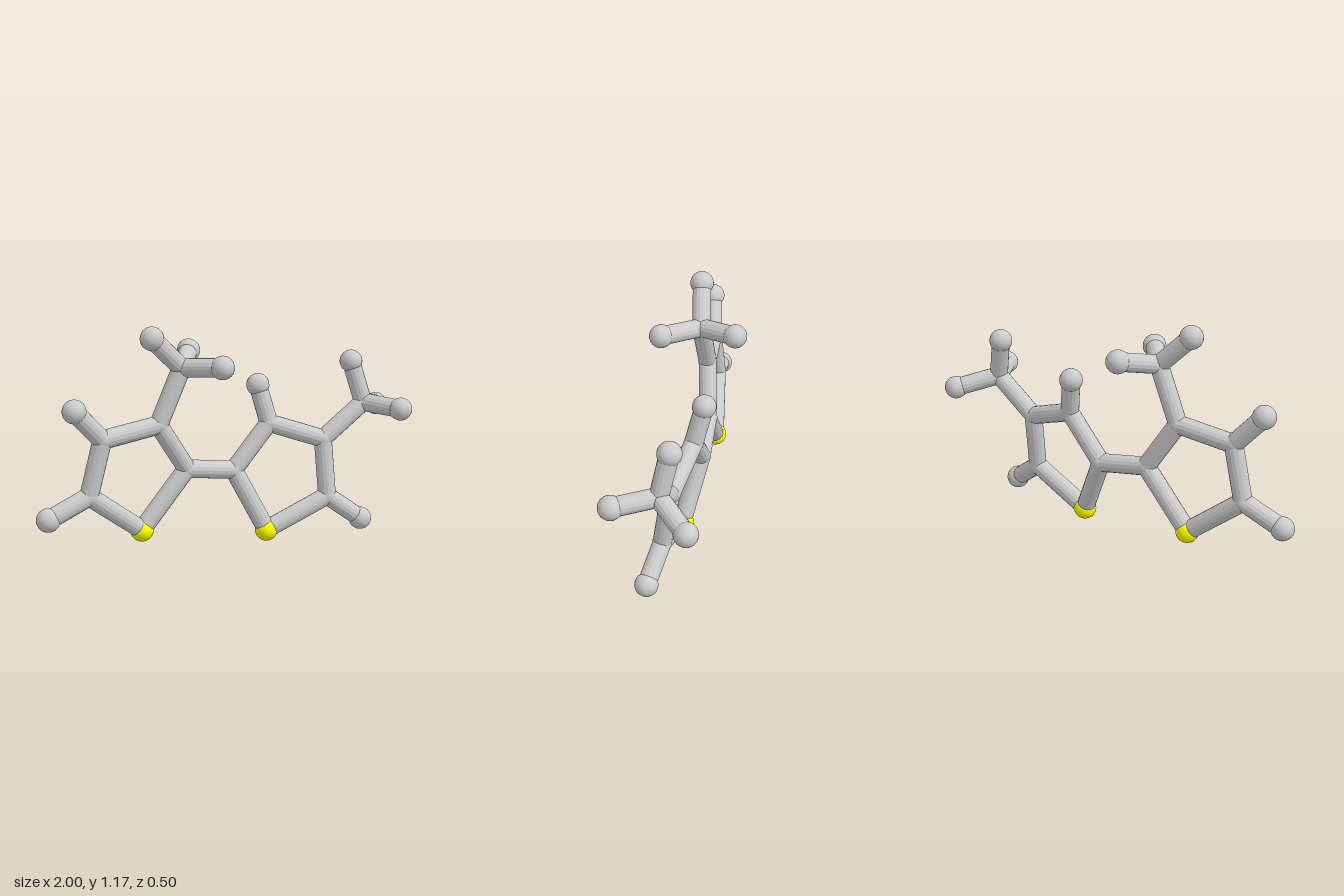
import * as THREE from 'three';

const BOND_R = 0.047;

// Atom positions: [x, y, z]
const atoms = {
  // left ring
  sulfurA: [-0.445, 0.13, -0.045],
  carbonA2: [-0.2, 0.42, -0.05],
  carbonA3: [-0.36, 0.67, -0.015],
  carbonA4: [-0.66, 0.63, 0.012],
  carbonA5: [-0.73, 0.35, 0.0],
  hydrogenA4: [-0.805, 0.79, 0.04],
  hydrogenA5: [-0.942, 0.26, 0.015],
  // left methyl
  methylA: [-0.24, 0.95, -0.005],
  hydrogenA6: [-0.403, 1.11, 0.025],
  hydrogenA7: [-0.13, 0.995, -0.195],
  hydrogenA8: [-0.095, 0.97, 0.17],
  // right ring
  sulfurB: [0.22, 0.06, 0.0],
  carbonB2: [0.065, 0.38, -0.068],
  carbonB3: [0.26, 0.61, -0.067],
  carbonB4: [0.545, 0.51, -0.012],
  carbonB5: [0.555, 0.21, 0.028],
  hydrogenB3: [0.217, 0.805, -0.11],
  hydrogenB5: [0.73, 0.08, 0.07],
  // right methyl
  methylB: [0.775, 0.685, -0.01],
  hydrogenB6: [0.72, 0.9, -0.05],
  hydrogenB7: [0.885, 0.68, 0.19],
  hydrogenB8: [0.938, 0.63, -0.17],
};

const bonds = [['carbonA2', 'carbonB2']];
for (const s of ['A', 'B']) {
  const ring = [`sulfur${s}`, ...[2, 3, 4, 5].map((n) => `carbon${s}${n}`)];
  ring.forEach((a, i) => bonds.push([a, ring[(i + 1) % 5]]));
  for (const n of [6, 7, 8]) bonds.push([`methyl${s}`, `hydrogen${s}${n}`]);
  bonds.push([`carbon${s}5`, `hydrogen${s}5`]);
}
bonds.push(['carbonA4', 'hydrogenA4'], ['carbonB3', 'hydrogenB3']);
bonds.push(['carbonA3', 'methylA'], ['carbonB4', 'methylB']);

export function createModel() {
  const group = new THREE.Group();
  group.name = 'moleculeModel';
  const grey = new THREE.MeshStandardMaterial({ color: 0xcccccc });
  const greyBond = new THREE.MeshStandardMaterial({ color: 0xcccccc, flatShading: true });
  const yellow = new THREE.MeshStandardMaterial({ color: 0xffff00 });
  const up = new THREE.Vector3(0, 1, 0);

  // Ball at every atom; carbons only round off the bond joints
  for (const [name, p] of Object.entries(atoms)) {
    const sulfur = name.startsWith('sulfur');
    const radius = sulfur || name.startsWith('hydrogen') ? 0.059 : 0.049;
    const ball = new THREE.Mesh(new THREE.SphereGeometry(radius, 24, 16), sulfur ? yellow : grey);
    ball.position.set(...p);
    ball.name = name;
    group.add(ball);
  }

  // Rod between each bonded pair
  for (const [a, b] of bonds) {
    const from = new THREE.Vector3(...atoms[a]);
    const to = new THREE.Vector3(...atoms[b]);
    const dir = to.clone().sub(from);
    const rod = new THREE.Mesh(new THREE.CylinderGeometry(BOND_R, BOND_R, dir.length(), 16), greyBond);
    rod.position.copy(from).lerp(to, 0.5);
    rod.quaternion.setFromUnitVectors(up, dir.normalize());
    rod.name = `bond ${a} to ${b}`;
    group.add(rod);
  }
  return group;
}
